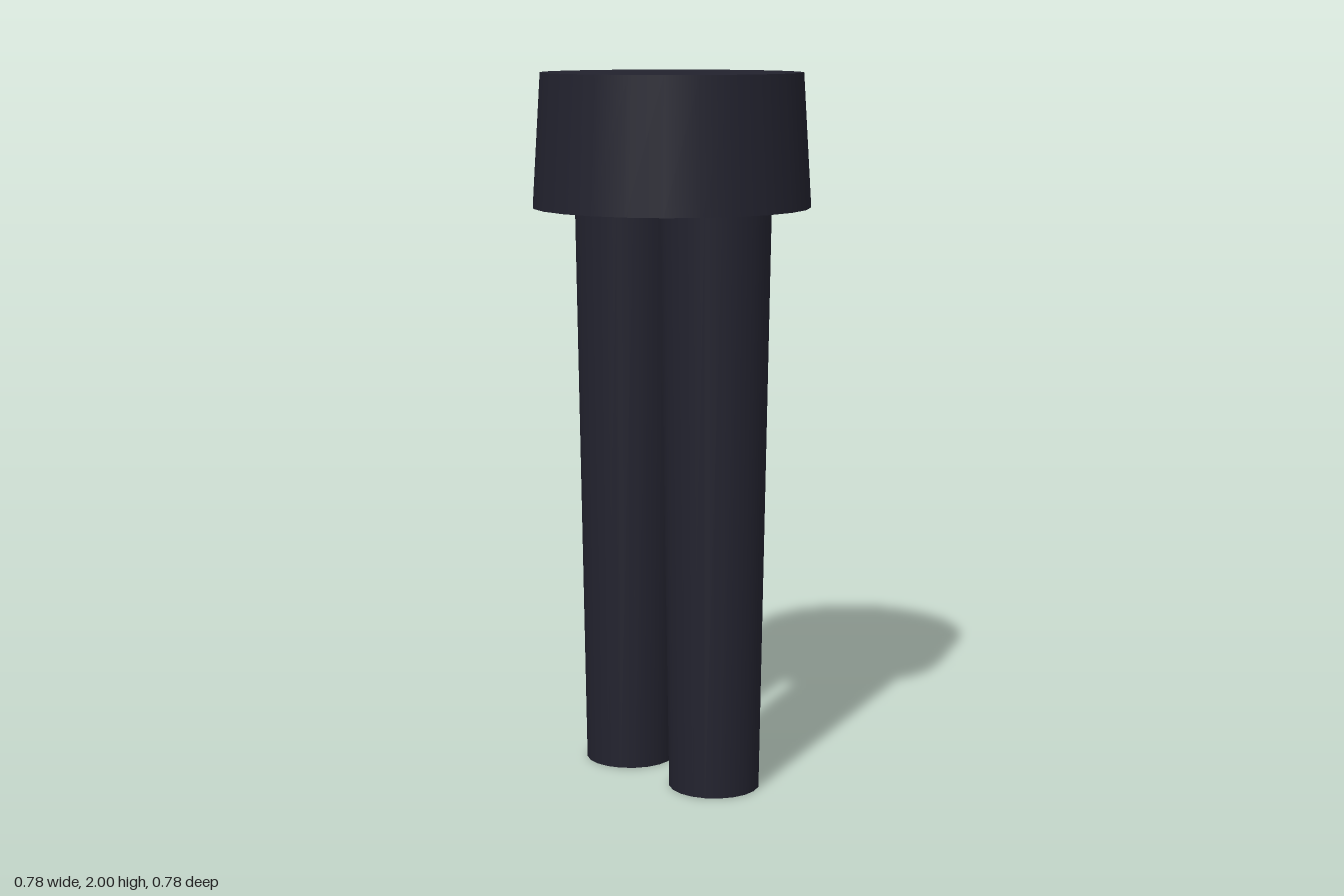
import * as THREE from 'three';

export function createModel() {
  const model = new THREE.Group();
  model.name = 'trousers';
  const cloth = new THREE.MeshStandardMaterial({ color: 0x22222e });
  cloth.name = 'dark cloth';

  // Tapered round part standing between two heights
  function taperedPart(name, topRadius, bottomRadius, bottom, top, x, sides) {
    const geometry = new THREE.CylinderGeometry(topRadius, bottomRadius, top - bottom, sides);
    const mesh = new THREE.Mesh(geometry, cloth);
    mesh.name = name;
    mesh.position.set(x, (bottom + top) / 2, 0);
    model.add(mesh);
  }

  // Hips, flaring slightly towards the hem
  taperedPart('hips', 0.365, 0.388, 1.63, 2, 0, 24);

  // Legs, narrowing towards the ankle and tucked just inside the hips
  for (const [name, side] of [['leftLeg', 1], ['rightLeg', -1]]) {
    taperedPart(name, 0.154, 0.128, 0, 1.64, side * 0.181, 20);
  }

  return model;
}
